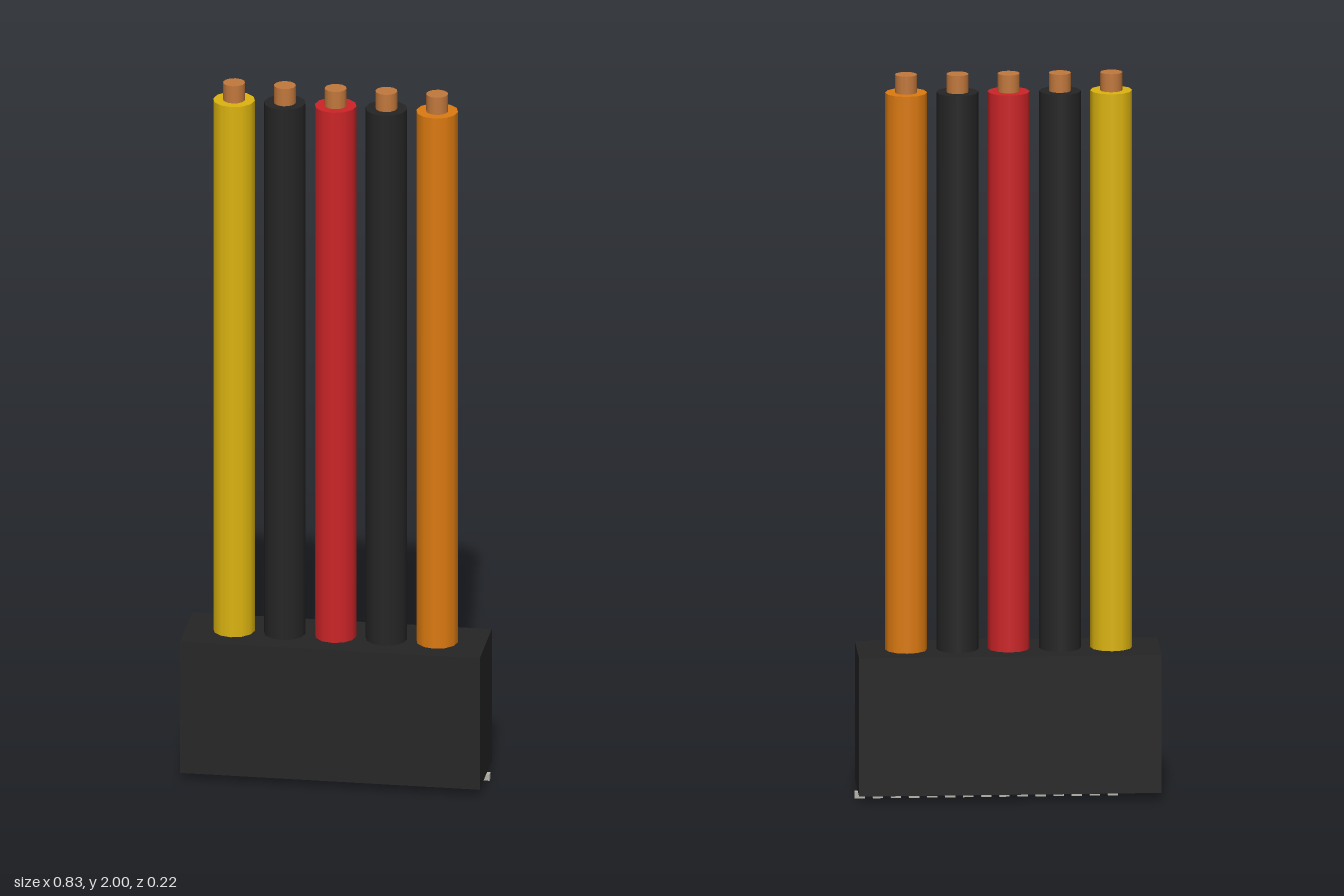
import * as THREE from 'three';

const mat = (name, color) => {
  const m = new THREE.MeshStandardMaterial({ color });
  m.name = name;
  return m;
};

export function createModel() {
  const group = new THREE.Group();
  const black = mat('black plastic', 0x252525);
  const dark = mat('dark socket', 0x0e0e0e);
  const yellow = mat('yellow insulation', 0xdcb40f);
  const red = mat('red insulation', 0xcc2427);
  const orange = mat('orange insulation', 0xdc7a10);
  const copper = mat('copper', 0xc2783c);
  const metal = mat('contact metal', 0xb4b4aa);

  const add = (name, geometry, material, x, y, z) => {
    const mesh = new THREE.Mesh(geometry, material);
    mesh.name = name;
    mesh.position.set(x, y, z);
    group.add(mesh);
  };
  // Box given by its lower and upper limits on each axis
  const box = (name, material, [x0, x1], [y0, y1], [z0, z1]) =>
    add(name, new THREE.BoxGeometry(x1 - x0, y1 - y0, z1 - z0), material,
      (x0 + x1) / 2, (y0 + y1) / 2, (z0 + z1) / 2);
  // Upright cylinder between two heights
  const rod = (name, material, r, x, y0, y1) =>
    add(name, new THREE.CylinderGeometry(r, r, y1 - y0, 12), material, x, (y0 + y1) / 2, 0);

  // Connector housing and the socket plate under it
  box('housing', black, [-0.415, 0.405], [0.022, 0.405], [-0.108, 0.108]);
  box('socketPlate', dark, [-0.345, 0.365], [0.008, 0.03], [-0.048, 0.063]);

  // Row of fifteen contacts
  for (let i = 0; i < 15; i++) {
    const x = 0.399 - i * 0.049;
    box('contact', metal, [x - 0.014, x + 0.014], [0, 0.018], [-0.035, -0.015]);
  }

  // Five insulated wires with bare copper ends
  [yellow, black, red, black, orange].forEach((material, i) => {
    const x = -0.284 + i * 0.139;
    rod('wire', material, 0.057, x, 0.39, 1.95);
    rod('wireCore', copper, 0.03, x, 1.93, 2);
  });

  return group;
}
